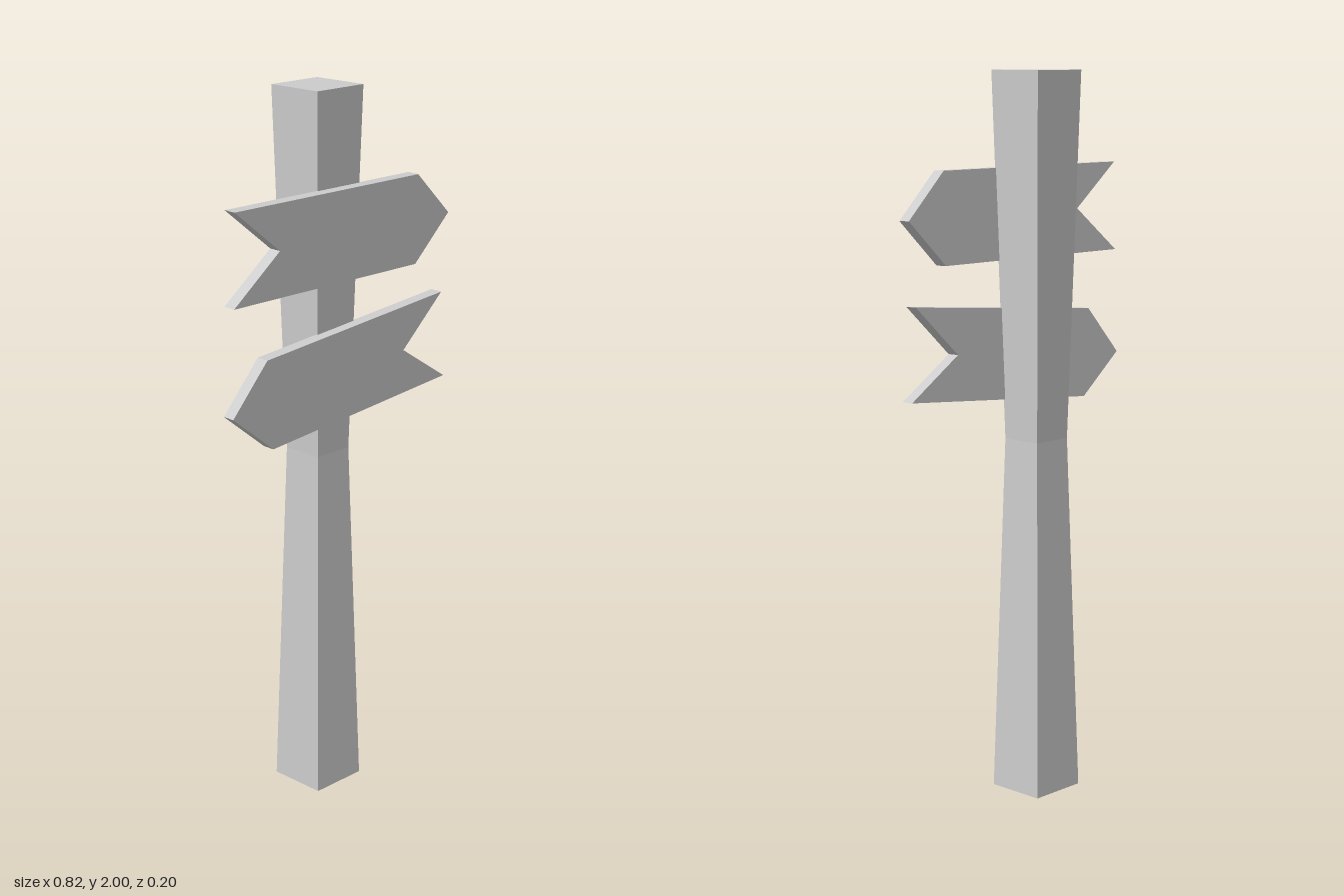
import * as THREE from 'three';

const grey = () => new THREE.MeshStandardMaterial({ color: 0xcccccc, flatShading: true, side: THREE.DoubleSide });

// Square post, pinched at mid height, open underneath
function makePost() {
  const post = new THREE.Group();
  post.name = 'post';
  const half = 0.085, waist = 0.06;

  const sides = new THREE.CylinderGeometry(Math.SQRT2, Math.SQRT2, 2, 4, 2, true);
  sides.rotateY(Math.PI / 4);
  const p = sides.attributes.position;
  for (let i = 0; i < p.count; i++) {
    const y = p.getY(i);
    const s = waist + (half - waist) * Math.abs(y);
    p.setXYZ(i, p.getX(i) * s, y + 1, p.getZ(i) * s);
  }
  sides.computeVertexNormals();
  const shaft = new THREE.Mesh(sides, grey());
  shaft.name = 'postShaft';

  const top = new THREE.Mesh(new THREE.PlaneGeometry(2 * half, 2 * half), grey());
  top.name = 'postTop';
  top.rotation.x = -Math.PI / 2;
  top.position.y = 2;

  post.add(shaft, top);
  post.position.set(-0.005, 0, -0.015);
  return post;
}

// Arrow board: outline extruded, leaning forward with the flare of the post
function makeBoard(name, outline, midY, backZ) {
  const shape = new THREE.Shape(outline.map(([x, y]) => new THREE.Vector2(x, y - midY)));
  const geometry = new THREE.ExtrudeGeometry(shape, { depth: 0.036, bevelEnabled: false });
  const board = new THREE.Mesh(geometry, grey());
  board.name = name;
  board.position.set(0, midY, backZ);
  board.rotation.x = 0.025;
  return board;
}

export function createModel() {
  const model = new THREE.Group();
  model.name = 'signpost';
  model.add(
    makePost(),
    makeBoard('upperArrowBoard', [
      [-0.41, 1.49], [0.27, 1.49], [0.4, 1.615], [0.27, 1.74], [-0.41, 1.74], [-0.25, 1.615],
    ], 1.615, 0.057),
    makeBoard('lowerArrowBoard', [
      [-0.265, 1.08], [0.408, 1.14], [0.235, 1.25], [0.385, 1.39], [-0.29, 1.33], [-0.41, 1.195],
    ], 1.235, 0.046),
  );
  return model;
}
